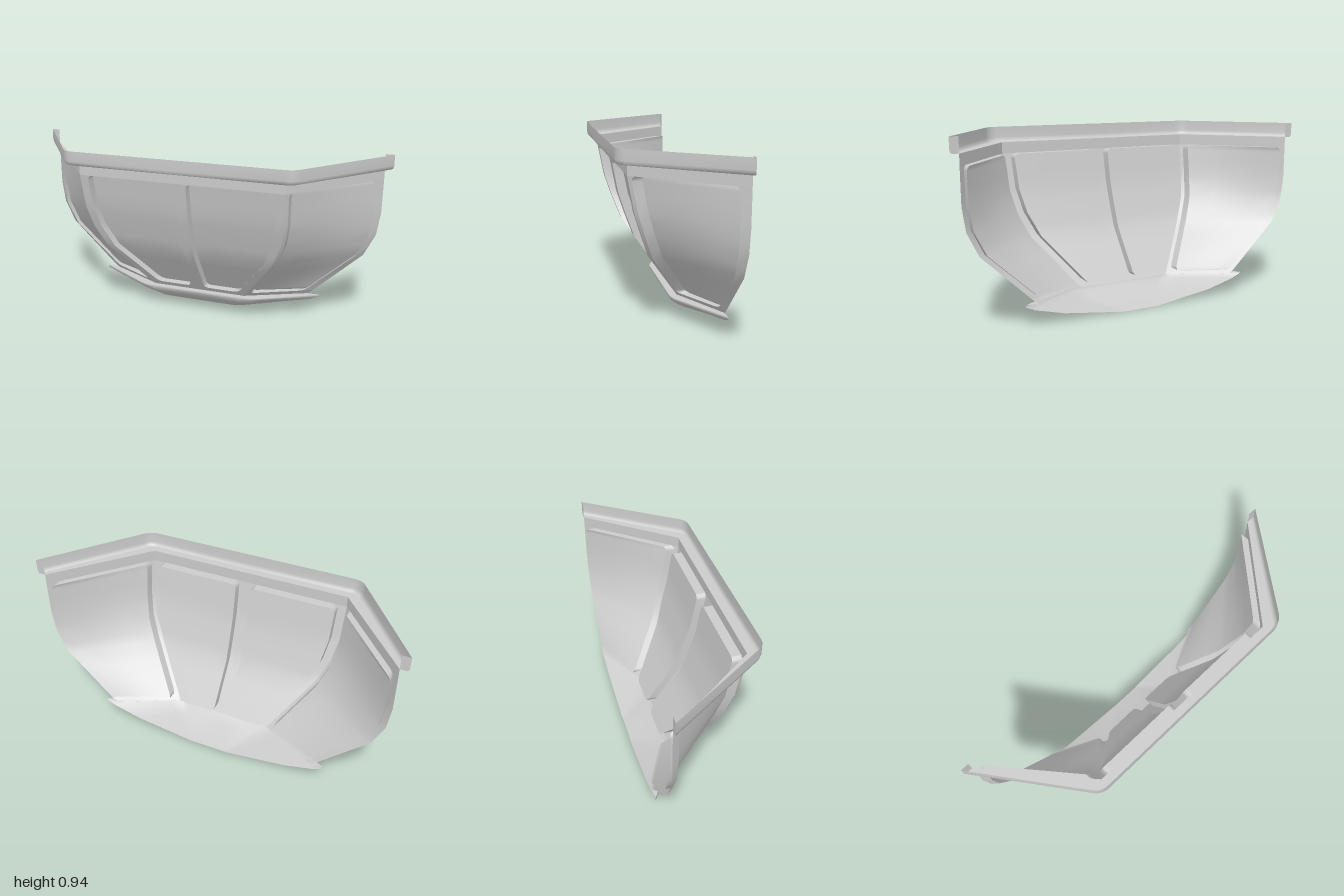
import * as THREE from 'three';

const material = new THREE.MeshStandardMaterial({ color: 0xcccccc, side: THREE.DoubleSide });
const BACK = -0.265;
const RECESS = 0.05;

// Bowl outline by height: [y, corner x, corner z, back end x]
const profile = [
  [0.115, 0.265, -0.1, 0.58], [0.14, 0.285, -0.082, 0.615], [0.38, 0.47, 0.085, 0.875],
  [0.5, 0.525, 0.13, 0.935], [0.62, 0.55, 0.17, 0.953], [0.8, 0.56, 0.205, 0.955], [0.858, 0.56, 0.205, 0.955],
];
const panelRows = [0.14, 0.145, 0.16, 0.22, 0.3, 0.38, 0.44, 0.5, 0.56, 0.62, 0.7, 0.775, 0.79, 0.8];

function outline(y) {
  let i = 0;
  while (i < profile.length - 2 && y > profile[i + 1][0]) i++;
  const a = profile[i], b = profile[i + 1], t = (y - a[0]) / (b[0] - a[0]);
  const [cx, cz, ex] = [1, 2, 3].map(k => a[k] + (b[k] - a[k]) * t);
  return { mid: new THREE.Vector3(0, y, cz), corner: new THREE.Vector3(cx, y, cz), end: new THREE.Vector3(ex, y, BACK) };
}

// Smooth surface through equally long rows of points
function sheet(name, rows) {
  const n = rows[0].length, index = [];
  for (let r = 0; r < rows.length - 1; r++)
    for (let c = 0; c < n - 1; c++) {
      const a = r * n + c, b = a + n;
      index.push(a, a + 1, b + 1, a, b + 1, b);
    }
  const g = new THREE.BufferGeometry().setFromPoints(rows.flat());
  g.setIndex(index);
  g.computeVertexNormals();
  const mesh = new THREE.Mesh(g, material);
  mesh.name = name;
  return mesh;
}

// One side of the bowl: frame strips around a panel pushed straight back
function bowlFace(name, from, to, marginA, marginB) {
  const group = new THREE.Group();
  group.name = name;
  const edges = y => {
    const o = outline(y);
    return [o[from], o[to]];
  };
  // Extra inset that rounds the panel corners
  const round = y => {
    const d = Math.min(y - 0.14, 0.8 - y);
    return d < 0.003 ? 0.022 : d < 0.012 ? 0.006 : 0;
  };
  const front = panelRows.map(y => {
    const [a, b] = edges(y), len = a.distanceTo(b), r = round(y);
    return [a, a.clone().lerp(b, (marginA + r) / len), b.clone().lerp(a, (marginB + r) / len), b];
  });
  const inner = front.map(f => f.slice(1, 3).map(p =>
    new THREE.Vector3(p.x, p.y, Math.max(p.z - RECESS, BACK))));
  const last = front.length - 1;
  const split = ([p, q]) => [0, 0.25, 0.5, 0.75, 1].map(t => p.clone().lerp(q, t));
  group.add(
    sheet('frameStrip', front.map(f => [f[0], f[1]])),
    sheet('frameStrip', front.map(f => [f[2], f[3]])),
    sheet('topBand', [edges(0.8), edges(0.858)]),
    sheet('bottomBand', [edges(0.115), edges(0.14)]),
    sheet('panel', inner.map(split)),
    sheet('panelWall', front.map((f, i) => [f[1], inner[i][0]])),
    sheet('panelWall', front.map((f, i) => [inner[i][1], f[2]])),
    sheet('panelTopWall', [inner[last], front[last].slice(1, 3)]),
    sheet('panelBottomWall', [front[0].slice(1, 3), inner[0]]),
  );
  return group;
}

// Half plan line from the middle round the corner to the wall
function planLine(y, cornerX, cornerZ, endX, radius) {
  const c = new THREE.Vector3(cornerX, y, cornerZ), e = new THREE.Vector3(endX, y, BACK);
  const start = new THREE.Vector3(cornerX - radius, y, cornerZ);
  const stop = c.clone().add(e.clone().sub(c).normalize().multiplyScalar(radius));
  return [new THREE.Vector3(0, y, cornerZ),
    ...new THREE.QuadraticBezierCurve3(start, c, stop).getPoints(5), e];
}

// Open-topped rim: a ledge with an upright outer wall, closed at the back end
function halfRim() {
  const group = new THREE.Group();
  group.name = 'rim';
  // Section points: [0 inner to 1 outer, y]
  const section = [[0, 0.858], [0.75, 0.858], [0.92, 0.863], [1, 0.88], [1, 0.935]];
  const rows = section.map(([t, y]) =>
    planLine(y, 0.56 + 0.05 * t, 0.205 + 0.06 * t, 0.955 + 0.045 * t, 0.003 + 0.042 * t));
  group.add(sheet('rimLedge', rows.slice(0, 2)), sheet('rimWall', rows.slice(1)));
  const cap = new THREE.ShapeGeometry(new THREE.Shape(
    [...section, [0, 0.935]].map(([t, y]) => new THREE.Vector2(0.955 + 0.045 * t, y))));
  const end = new THREE.Mesh(cap, material);
  end.name = 'rimEnd';
  end.position.z = BACK;
  group.add(end);
  return group;
}

function halfDish() {
  // Rings: [y, corner x, corner z, back end x, corner radius]
  const rings = [
    [0.116, 0.265, -0.1, 0.58, 0.02], [0.118, 0.31, -0.057, 0.65, 0.05], [0.108, 0.312, -0.056, 0.655, 0.05],
    [0.085, 0.285, -0.07, 0.6, 0.05], [0.045, 0.225, -0.115, 0.44, 0.05], [0, 0.09, -0.263, 0.1, 0.005],
  ].map(r => planLine(...r));
  const group = new THREE.Group();
  group.name = 'bottomDish';
  group.add(sheet('dishLip', rings.slice(0, 2)), sheet('dishBowl', rings.slice(1)));
  return group;
}

export function createModel() {
  const model = new THREE.Group();
  model.name = 'wallBowl';
  for (const side of [1, -1]) {
    const half = new THREE.Group();
    half.name = side > 0 ? 'leftHalf' : 'rightHalf';
    half.add(
      bowlFace('frontFace', 'mid', 'corner', 0.04, 0.045),
      bowlFace('sideFace', 'corner', 'end', 0.02, 0.05),
      halfRim(),
      halfDish(),
    );
    half.scale.x = side;
    model.add(half);
  }
  return model;
}
